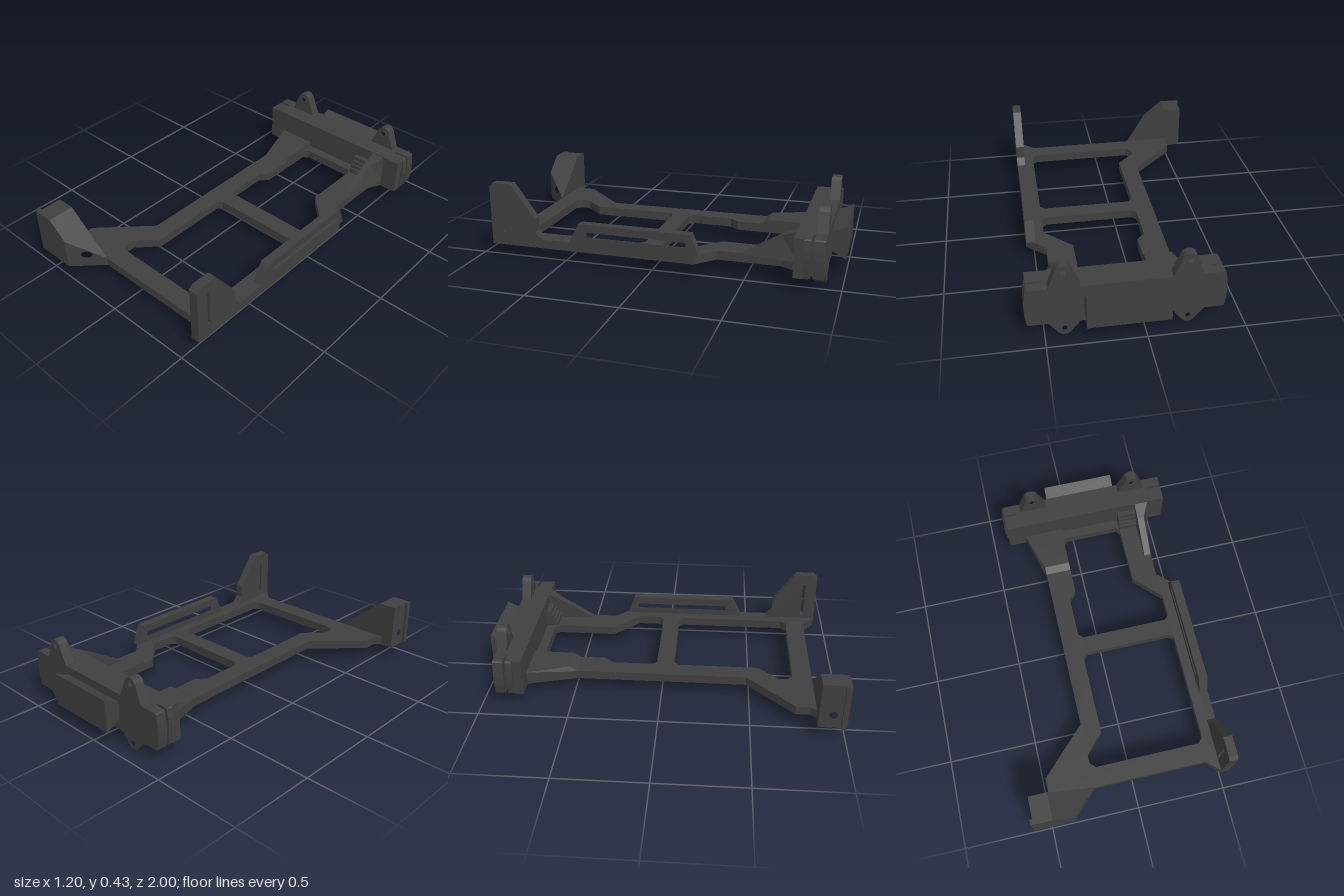
import * as THREE from 'three';

const dark = new THREE.MeshStandardMaterial({ color: 0x404040 });
dark.name = 'charcoal plastic';

function shapeOf(pts, holes = []) {
  const s = new THREE.Shape(pts.map(p => new THREE.Vector2(...p)));
  holes.forEach(h => s.holes.push(
    h.r ? new THREE.Path().absarc(h.x, h.y, h.r, 0, Math.PI * 2, true)
      : new THREE.Path(h.map(p => new THREE.Vector2(...p)))));
  return s;
}
const extrude = (s, depth) => new THREE.ExtrudeGeometry(s, { depth, bevelEnabled: false, curveSegments: 10 });
const flip = pts => pts.map(([a, b]) => [-a, b]);

// Outline in (x, z), extruded upward
function plan(pts, y0, y1, holes = []) {
  const neg = l => l.map(([x, z]) => [x, -z]);
  return extrude(shapeOf(neg(pts), holes.map(neg)), y1 - y0).rotateX(-Math.PI / 2).translate(0, y0, 0);
}
// Outline in (z, y), extruded along x
function side(pts, x0, x1, holes = []) {
  const hs = holes.map(h => (h.r ? { x: -h.x, y: h.y, r: h.r } : flip(h)));
  return extrude(shapeOf(flip(pts), hs), x1 - x0).rotateY(Math.PI / 2).translate(x0, 0, 0);
}
// Outline in (x, y), extruded along z
const front = (pts, z0, z1, holes) => extrude(shapeOf(pts, holes), z1 - z0).translate(0, 0, z0);

function box(x0, x1, y0, y1, z0, z1) {
  return new THREE.BoxGeometry(x1 - x0, y1 - y0, z1 - z0)
    .translate((x0 + x1) / 2, (y0 + y1) / 2, (z0 + z1) / 2);
}
// Move vertices by a rule
function warp(geo, rule) {
  const p = geo.attributes.position;
  for (let i = 0; i < p.count; i++) p.setXYZ(i, ...rule(p.getX(i), p.getY(i), p.getZ(i)));
  geo.computeVertexNormals();
  return geo;
}

export function createModel() {
  const model = new THREE.Group();
  const add = (name, geo) => {
    const m = new THREE.Mesh(geo, dark);
    m.name = name;
    model.add(m);
  };

  // Flat frame with two chamfered openings
  const outline = [[-0.30, -0.77], [-0.22, -0.48], [-0.22, 0.48], [-0.48, 0.74], [-0.48, 0.82], [-0.51, 0.85],
    [-0.22, 0.85], [0.42, 0.85], [0.495, 0.92], [0.545, 0.92], [0.545, -0.24], [0.44, -0.34],
    [0.44, -0.68], [0.485, -0.77]];
  const rearOpening = [[-0.07, -0.68], [-0.04, -0.705], [0.27, -0.705], [0.29, -0.68], [0.29, -0.34], [0.44, -0.19],
    [0.44, -0.06], [0.415, -0.035], [-0.09, -0.035], [-0.115, -0.06], [-0.115, -0.29], [-0.07, -0.34]];
  const frontOpening = [[-0.09, 0.065], [0.415, 0.065], [0.44, 0.09], [0.44, 0.71], [0.41, 0.74], [-0.19, 0.74],
    [-0.22, 0.71], [-0.22, 0.66], [-0.115, 0.55], [-0.115, 0.09]];
  add('baseFrame', plan(outline, 0.075, 0.125, [rearOpening, frontOpening]));

  // Thickened pad where the right rail meets the rear block
  add('raisedPad', warp(
    plan([[-0.30, -0.77], [-0.22, -0.48], [-0.07, -0.48], [-0.07, -0.77]], 0.12, 0.152),
    (x, y, z) => [x, y, y > 0.14 && z > -0.5 ? -0.525 : z]));

  // Side rail with a long slot
  add('slottedRail', side(
    [[0.46, 0.12], [0.40, 0.235], [-0.225, 0.235], [-0.27, 0.12]], 0.495, 0.545,
    [[[0.355, 0.163], [0.355, 0.19], [-0.20, 0.19], [-0.20, 0.163]]]));

  // Upright fin with a vertical slot
  add('uprightFin', side(
    [[0.92, 0.12], [0.92, 0.405], [0.90, 0.425], [0.79, 0.425], [0.655, 0.24], [0.655, 0.165], [0.615, 0.12]],
    0.495, 0.545, [[[0.837, 0.15], [0.837, 0.36], [0.852, 0.36], [0.852, 0.15]]]));

  // Corner foot: mitred lower half with a cross hole, sloping upper half
  const cut = x => x > -0.4;
  add('footLower', warp(
    side([[0.85, 0.075], [1, 0.075], [1, 0.249], [0.85, 0.125]], -0.585, -0.22, [{ x: 0.925, y: 0.155, r: 0.022 }]),
    (x, y, z) => [cut(x) ? -0.22 - (z - 0.85) : x, y, z]));
  add('footUpper', warp(
    side([[0.85, 0.125], [1, 0.249], [1, 0.34], [0.85, 0.34]], -0.585, -0.22),
    (x, y, z) => [cut(x) ? -0.48 + (0.34 - y) / 0.827 : x, y, z]));
  add('footLip', box(-0.6, -0.585, 0.075, 0.34, 0.97, 1));

  // Rear brace, flaring outward toward the block
  add('rearBrace', warp(
    side([[-0.47, 0.12], [-0.68, 0.245], [-0.77, 0.285], [-0.77, 0.12]], 0.40, 0.44),
    (x, y, z) => [x > 0.42 && z < -0.7 ? 0.485 : x, y, z]));

  // Small steps beside the brace
  for (let i = 0; i < 4; i++) {
    add('ventStep', box(0.29, 0.40, 0.12, 0.155 + i * 0.022, -0.77, -0.69 - i * 0.013));
  }

  // Rear block and the grooved end stack, symmetric about x = 0.09
  const mid = 0.09;
  add('rearBlock', box(-0.40, 0.58, 0.075, 0.285, -0.815, -0.76));
  add('grooveCore', box(-0.33, 0.50, 0.075, 0.285, -0.865, -0.835));
  const end = [[0.488, 0.285], [0.495, 0.278], [0.502, 0.23], [0.505, 0.18], [0.502, 0.13], [0.495, 0.082], [0.488, 0.075]];
  const mirrored = half => [...half, ...flip(half).reverse()].map(([u, y]) => [u + mid, y]);
  add('innerPlate', front(mirrored(end), -0.845, -0.81));

  // Back plate with four rounded screw ears
  const arc = (y, a0, a1) => Array.from({ length: 9 }, (_, i) => {
    const a = (a0 + (a1 - a0) * i / 8) * Math.PI / 180;
    return [0.31 + 0.04 * Math.cos(a), y + 0.04 * Math.sin(a)];
  });
  const half = [[0.228, 0.285], ...arc(0.372, 158, 22), [0.385, 0.285], ...end,
    [0.39, 0.075], ...arc(0.04, -40, -140), [0.23, 0.075]];
  const screws = [];
  for (const x of [mid - 0.31, mid + 0.31]) for (const y of [0.04, 0.372]) screws.push({ x, y, r: 0.013 });
  add('backPlate', front(mirrored(half), -0.915, -0.86, screws));
  screws.forEach(({ x, y }) =>
    add('screwRing', new THREE.TorusGeometry(0.021, 0.003, 6, 20).translate(x, y, -0.86)));

  // Gussets under the outer edges of the lower ears
  for (const s of [-1, 1]) {
    const a = mid + s * 0.345, b = mid + s * 0.385;
    add('earGusset', side([[-0.81, 0.08], [-0.865, 0.08], [-0.865, 0.03]], Math.min(a, b), Math.max(a, b)));
  }

  // Flared dovetail at the very back
  add('dovetail', side([[-0.91, 0.142], [-0.91, 0.235], [-1, 0.277], [-1, 0.093]], -0.12, 0.30));

  return model;
}
